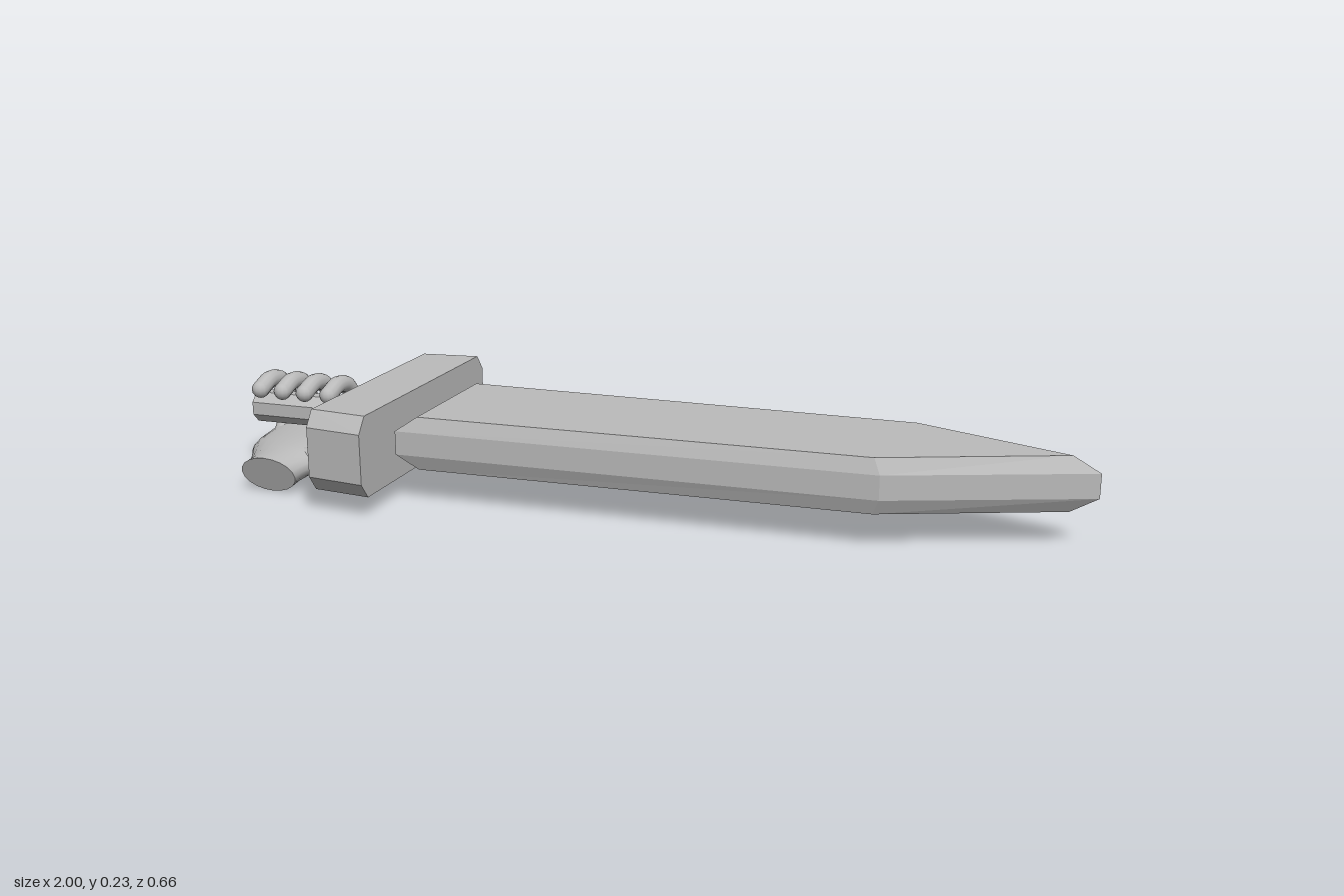
import * as THREE from 'three';

const steel = new THREE.MeshStandardMaterial({ color: 0xbbbbbb });
steel.name = 'plain grey';

// Skins a stack of equal-length rings and closes both ends.
function loft(rings, flat) {
  const n = rings[0].length, pos = rings.flat(2), index = [];
  for (let i = 0; i < rings.length - 1; i++) {
    for (let j = 0; j < n; j++) {
      const a = i * n + j, b = i * n + (j + 1) % n;
      index.push(a, b, b + n, a, b + n, a + n);
    }
  }
  [rings[0], rings[rings.length - 1]].forEach((ring, end) => {
    const base = pos.length / 3;
    pos.push(...ring.flat());
    for (let j = 1; j < n - 1; j++) {
      if (end) index.push(base, base + j, base + j + 1);
      else index.push(base, base + j + 1, base + j);
    }
  });
  let g = new THREE.BufferGeometry();
  g.setAttribute('position', new THREE.Float32BufferAttribute(pos, 3));
  g.setIndex(index);
  if (flat) g = g.toNonIndexed();
  g.computeVertexNormals();
  return g;
}

function add(parent, name, geometry) {
  const mesh = new THREE.Mesh(geometry, steel);
  mesh.name = name;
  parent.add(mesh);
  return mesh;
}

// Round-ended tube through a few points.
function digit(parent, name, points, radius) {
  const group = new THREE.Group();
  group.name = name;
  const pts = points.map(p => new THREE.Vector3(...p));
  add(group, name + 'Tube', new THREE.TubeGeometry(new THREE.CatmullRomCurve3(pts), 32, radius, 12));
  for (const p of [pts[0], pts[pts.length - 1]]) {
    add(group, name + 'End', new THREE.SphereGeometry(radius, 12, 8)).position.copy(p);
  }
  parent.add(group);
}

export function createModel() {
  const model = new THREE.Group();
  model.name = 'swordInHand';

  // Blade: bevelled pointed outline stacked in four layers
  const outer = [[-0.54, 0.18], [0.565, 0.16], [1, 0], [0.605, -0.157], [-0.54, -0.172]];
  const inner = [[-0.49, 0.166], [0.55, 0.148], [0.94, 0], [0.59, -0.148], [-0.49, -0.159]];
  const layer = (outline, y) => outline.map(([x, z]) => [x, y, z]);
  add(model, 'blade', loft([
    layer(inner, 0.08), layer(outer, 0.115), layer(outer, 0.17), layer(inner, 0.204),
  ], true));

  // Crossguard: chamfered bar, slightly narrower towards the handle
  const guardRing = (x, s) => [
    [0.236, -0.3], [0.236, 0.3], [0.2, 0.328], [0.085, 0.328],
    [0.049, 0.3], [0.049, -0.3], [0.085, -0.328], [0.2, -0.328],
  ].map(([y, z]) => [x, y, z * s]);
  add(model, 'crossguard', loft([guardRing(-0.69, 0.945), guardRing(-0.55, 1)], true));

  // Handle: faceted rod
  const handle = new THREE.CylinderGeometry(0.04, 0.04, 0.32, 8).toNonIndexed();
  handle.computeVertexNormals();
  handle.rotateX(0).rotateY(Math.PI / 8).rotateZ(Math.PI / 2).translate(-0.84, 0.147, -0.003);
  add(model, 'handle', handle);

  const hand = new THREE.Group();
  hand.name = 'hand';
  model.add(hand);

  // Palm and wrist: [z, centre x, half width, centre y, half height, tilt]
  const sections = [
    [0.212, -0.857, 0.07, 0.045, 0.044, 0.35],
    [0.18, -0.857, 0.07, 0.048, 0.042, 0.3],
    [0.14, -0.86, 0.085, 0.053, 0.041, 0.15],
    [0.09, -0.865, 0.108, 0.06, 0.038, 0],
    [0.04, -0.87, 0.114, 0.066, 0.033, 0],
    [-0.01, -0.873, 0.112, 0.073, 0.027, 0],
    [-0.05, -0.875, 0.104, 0.084, 0.018, 0],
  ];
  add(hand, 'palm', loft(sections.map(([z, cx, hw, cy, hh, tilt]) =>
    Array.from({ length: 20 }, (_, k) => {
      const a = k / 20 * Math.PI * 2, dy = hh * Math.sin(a);
      return [cx - hw * Math.cos(a), cy + dy, z + tilt * dy];
    })), false));

  // Four fingers curling under, behind and over the handle
  [-0.968, -0.908, -0.848, -0.784].forEach((x, i) => {
    const path = [[0.06, 0.056], [0, 0.064], [-0.055, 0.085], [-0.079, 0.125],
      [-0.074, 0.17], [-0.045, 0.205], [0, 0.214], [0.044, 0.2]];
    const root = -0.87 + (x + 0.876) * 0.9;
    digit(hand, 'finger' + (i + 1),
      path.map(([z, y], k) => [k < 2 ? root : x, y, z]), 0.021);
  });

  // Thumb hooking round the guard end of the grip
  digit(hand, 'thumb', [
    [-0.83, 0.06, 0.12], [-0.77, 0.066, 0.115], [-0.733, 0.09, 0.095],
    [-0.732, 0.118, 0.078], [-0.765, 0.125, 0.068],
  ], 0.029);

  return model;
}
